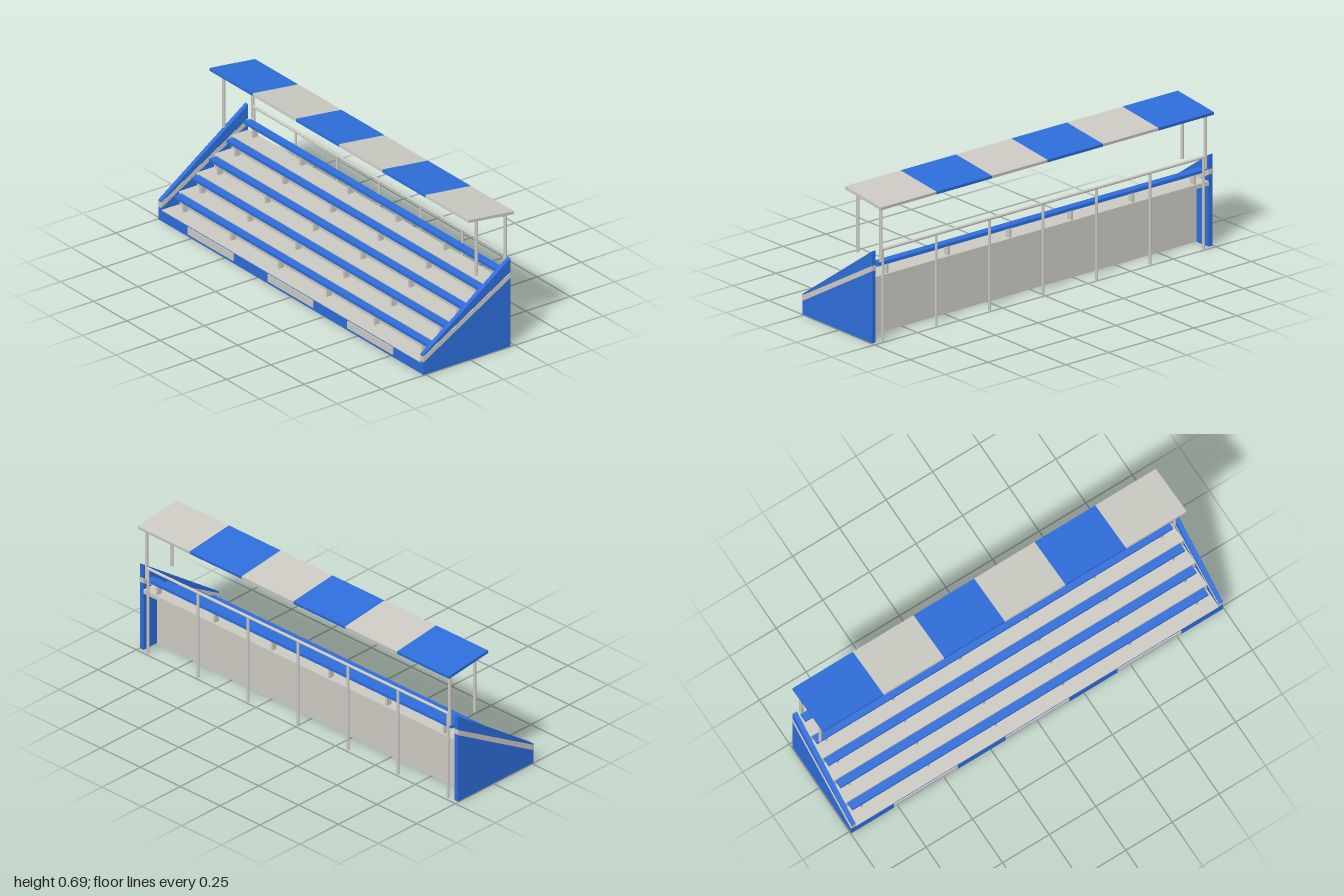
import * as THREE from 'three';

export function createModel() {
  const model = new THREE.Group();
  model.name = 'grandstand';
  const blue = new THREE.MeshStandardMaterial({ name: 'blue paint', color: 0x2d6dd9 });
  const grey = new THREE.MeshStandardMaterial({ name: 'light grey', color: 0xcbc9c1 });

  const add = (name, geometry, material, x, y, z, parent = model) => {
    const mesh = new THREE.Mesh(geometry, material);
    mesh.name = name;
    mesh.position.set(x, y, z);
    parent.add(mesh);
    return mesh;
  };
  // Box given by its limits in y and z, centred on x
  const box = (name, mat, x, width, y0, y1, z0, z1) =>
    add(name, new THREE.BoxGeometry(width, y1 - y0, z1 - z0), mat, x, (y0 + y1) / 2, (z0 + z1) / 2);
  // Round upright post
  const post = (name, r, x, y0, y1, z) =>
    add(name, new THREE.CylinderGeometry(r, r, y1 - y0, 12), grey, x, (y0 + y1) / 2, z);
  // Upright slab from a (z, y) outline, extruded along x
  const slab = (name, mat, x, width, points) => {
    const shape = new THREE.Shape(points.map(([z, y]) => new THREE.Vector2(z, y)));
    const geo = new THREE.ExtrudeGeometry(shape, { depth: width, bevelEnabled: false });
    geo.translate(0, 0, -width / 2).rotateY(-Math.PI / 2);
    return add(name, geo, mat, x, 0, 0);
  };

  // Stepped rows: tread, riser, bench seat and its brackets
  const rows = 5, depth = 0.098, rise = 0.065, front = 0.26;
  for (let i = 0; i < rows; i++) {
    const top = 0.055 + i * rise;
    const z1 = front - i * depth;
    const z0 = z1 - depth;
    box('tread', grey, 0, 1.95, top - 0.02, top, z0, z1);
    if (i > 0) box('riser', grey, 0, 1.95, 0, top - 0.02, z1 - 0.01, z1 - 0.002);
    box('benchSeat', blue, 0, 1.91, top + 0.048, top + 0.062, z0 + 0.002, z0 + 0.042);
    for (let k = 0; k < 6; k++) {
      box('seatBracket', grey, -0.9 + k * 0.36, 0.012, top, top + 0.048, z0 + 0.008, z0 + 0.036);
    }
  }

  // Front board with three pale plates
  box('frontBoard', blue, 0, 1.95, 0, 0.052, 0.25, 0.262);
  for (const x of [-0.6, 0, 0.6]) box('frontPlate', grey, x, 0.34, 0.014, 0.05, 0.262, 0.267);

  // Side walls with a sloping stripe
  for (const side of [-1, 1]) {
    slab('sideWall', blue, side * 0.986, 0.022,
      [[0.262, 0], [0.262, 0.1], [-0.228, 0.443], [-0.228, 0]]);
    slab('sideStripe', grey, side * 0.987, 0.026,
      [[0.263, 0.065], [0.263, 0.092], [-0.2285, 0.373], [-0.2285, 0.347]]);
  }

  // Rear handrail on seven posts
  const backZ = -0.235;
  for (let i = 0; i < 7; i++) post('railPost', 0.0065, -0.94 + i * (1.88 / 6), 0, 0.44, backZ);
  const rail = add('handrail', new THREE.CylinderGeometry(0.007, 0.007, 1.9, 12), grey, 0, 0.441, backZ);
  rail.rotation.z = Math.PI / 2;

  // Canopy posts
  for (const x of [-0.95, 0.95]) {
    post('canopyPost', 0.008, x, 0.385, 0.652, backZ);
    post('canopyPost', 0.008, x, 0.385, 0.66, -0.072);
  }

  // Tilted canopy of six alternating panels
  const canopy = new THREE.Group();
  canopy.name = 'canopy';
  canopy.position.set(0, 0.667, -0.1375);
  canopy.rotation.x = -0.118;
  model.add(canopy);
  for (let i = 0; i < 6; i++) {
    add('canopyPanel', new THREE.BoxGeometry(0.325, 0.014, 0.257), i % 2 ? grey : blue,
      -0.8125 + i * 0.325, 0, 0, canopy);
  }

  return model;
}
